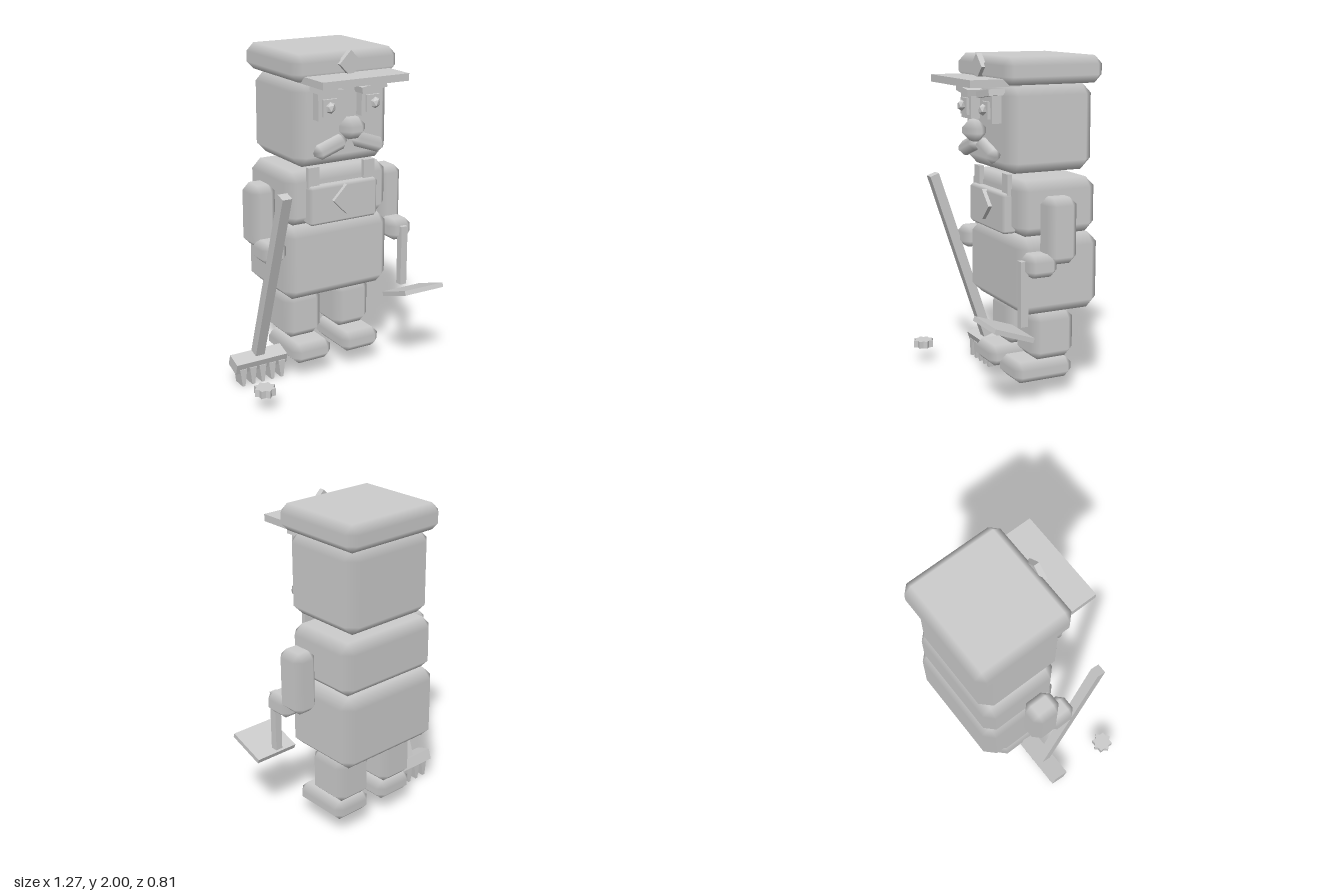
import * as THREE from 'three';
import { ConvexGeometry } from 'three/addons/geometries/ConvexGeometry.js';

export function createModel() {
  const root = new THREE.Group();
  root.name = 'blockGardener';
  const grey = new THREE.MeshStandardMaterial({ color: 0xcccccc });
  grey.name = 'plain grey';
  const MID = 0.057; // symmetry plane of the figure

  const add = (name, geometry, x, y, z, parent = root) => {
    const mesh = new THREE.Mesh(geometry, grey);
    mesh.name = name;
    mesh.position.set(x, y, z);
    parent.add(mesh);
    return mesh;
  };

  // Chamfered block: flat main faces, softly shaded bevels
  const chamferBox = (w, h, d, c) => {
    const half = [w / 2, h / 2, d / 2];
    const points = [];
    for (const sx of [-1, 1]) for (const sy of [-1, 1]) for (const sz of [-1, 1]) {
      const s = [sx, sy, sz];
      for (let axis = 0; axis < 3; axis++) {
        points.push(new THREE.Vector3(...half.map((v, i) => s[i] * (i === axis ? v : v - c))));
      }
    }
    const geometry = new ConvexGeometry(points);
    const pos = geometry.attributes.position;
    for (let i = 0; i < pos.count; i++) {
      const p = [pos.getX(i), pos.getY(i), pos.getZ(i)];
      const n = p.map((v, k) => (Math.abs(Math.abs(v) - half[k]) < 1e-5 ? Math.sign(v) : 0));
      geometry.attributes.normal.setXYZ(i, ...n);
    }
    return geometry;
  };

  // Blocks given by their limits on each axis; c = 0 gives a sharp box
  const block = (name, [x0, x1], [y0, y1], [z0, z1], c = 0) => {
    const size = [x1 - x0, y1 - y0, z1 - z0];
    const geometry = c ? chamferBox(...size, c) : new THREE.BoxGeometry(...size);
    return add(name, geometry, (x0 + x1) / 2, (y0 + y1) / 2, (z0 + z1) / 2);
  };
  const around = (x, w) => [x - w / 2, x + w / 2];

  // Cap
  block('capCrown', around(MID, 0.69), [1.835, 1.99], [-0.41, 0.215], 0.047);
  block('capVisor', around(MID, 0.562), [1.828, 1.87], [0.1, 0.4]);
  const diamond = (name, side, y, z, depth) => {
    add(name, new THREE.BoxGeometry(side, side, depth), MID, y, z).rotation.z = Math.PI / 4;
  };
  diamond('capBadge', 0.105, 1.926, 0.22, 0.034);

  // Head, torso and belly
  block('head', around(MID - 0.003, 0.625), [1.338, 1.837], [-0.37, 0.182], 0.062);
  block('chest', around(MID, 0.69), [0.98, 1.3], [-0.372, 0.128], 0.055);
  block('belly', around(MID, 0.716), [0.522, 0.975], [-0.39, 0.135], 0.06);

  // Face
  block('nose', around(MID, 0.157), [1.503, 1.627], [0.19, 0.315], 0.048);
  for (const s of [-1, 1]) {
    const x = MID + s * 0.143;
    block('eyeSocket', around(x, 0.14), [1.62, 1.775], [0.15, 0.238]);
    block('eye', around(x, 0.09), [1.643, 1.74], [0.2, 0.254]);
    const pupil = add('pupil', new THREE.IcosahedronGeometry(0.035, 0), x + s * 0.005, 1.695, 0.265);
    pupil.scale.set(0.85, 1, 0.75);
    pupil.rotation.z = -0.4;
    const brow = add('eyebrow', new THREE.BoxGeometry(0.168, 0.036, 0.1), x, 1.783, 0.215);
    brow.rotation.z = s * 0.15;
    const whisker = add('moustache', chamferBox(0.218, 0.088, 0.085, 0.034), MID + s * 0.126, 1.462, 0.223);
    whisker.rotation.z = -s * 0.33;
  }

  // Overalls
  block('bib', around(MID, 0.46), [0.99, 1.222], [0.09, 0.182], 0.016);
  diamond('bibBadge', 0.125, 1.13, 0.19, 0.03);
  for (const s of [-1, 1]) {
    block('strap', around(MID + s * 0.188, 0.074), [1.18, 1.332], [0.123, 0.15]);
  }

  // Limbs
  for (const s of [-1, 1]) {
    block('arm', around(MID + s * 0.438, 0.156), [0.85, 1.225], [-0.155, 0.033], 0.042);
    block('hand', around(MID + s * 0.438, 0.156), [0.785, 0.915], [-0.03, 0.155], 0.038);
    block('leg', around(MID + s * 0.173, 0.255), [0.225, 0.515], [-0.263, 0.02], 0.05);
    block('foot', around(MID + s * 0.173, 0.265), [0.1, 0.225], [-0.25, 0.13], 0.042);
  }

  // Rake with leaning handle
  const LEAN = 0.322;
  const rakeX = -0.416;
  const handle = add('rakeHandle', new THREE.BoxGeometry(0.06, 1.13, 0.06), rakeX, 0.71, 0.14);
  handle.rotation.x = LEAN;
  const bar = add('rakeBar', new THREE.BoxGeometry(0.342, 0.07, 0.1), rakeX, 0.131, -0.036);
  bar.rotation.x = LEAN;
  const tine = new THREE.Shape([[-0.023, 0.11], [-0.009, 0], [0.009, 0], [0.023, 0.11]]
    .map(([x, y]) => new THREE.Vector2(x, y)));
  const tineGeometry = new THREE.ExtrudeGeometry(tine, { depth: 0.09, bevelEnabled: false });
  for (let i = -2; i <= 2; i++) {
    add('rakeTine', tineGeometry, rakeX + 0.005 + i * 0.065, 0, -0.075);
  }

  // Trowel
  block('trowelHandle', [0.47, 0.514], [0.505, 0.88], [0.135, 0.18]);
  const blade = add('trowelBlade', new THREE.BoxGeometry(0.28, 0.028, 0.25), 0.493, 0.504, 0.278);
  blade.rotation.x = -0.34;

  // Eight-pointed star lying beside the rake
  const star = new THREE.Shape();
  for (let i = 0; i < 16; i++) {
    const r = i % 2 ? 0.049 : 0.065;
    const a = (i * Math.PI) / 8;
    star[i ? 'lineTo' : 'moveTo'](r * Math.cos(a), r * Math.sin(a));
  }
  const starGeometry = new THREE.ExtrudeGeometry(star, { depth: 0.045, bevelEnabled: false });
  add('star', starGeometry, -0.57, 0.1, 0.339).rotation.x = -Math.PI / 2;

  return root;
}
